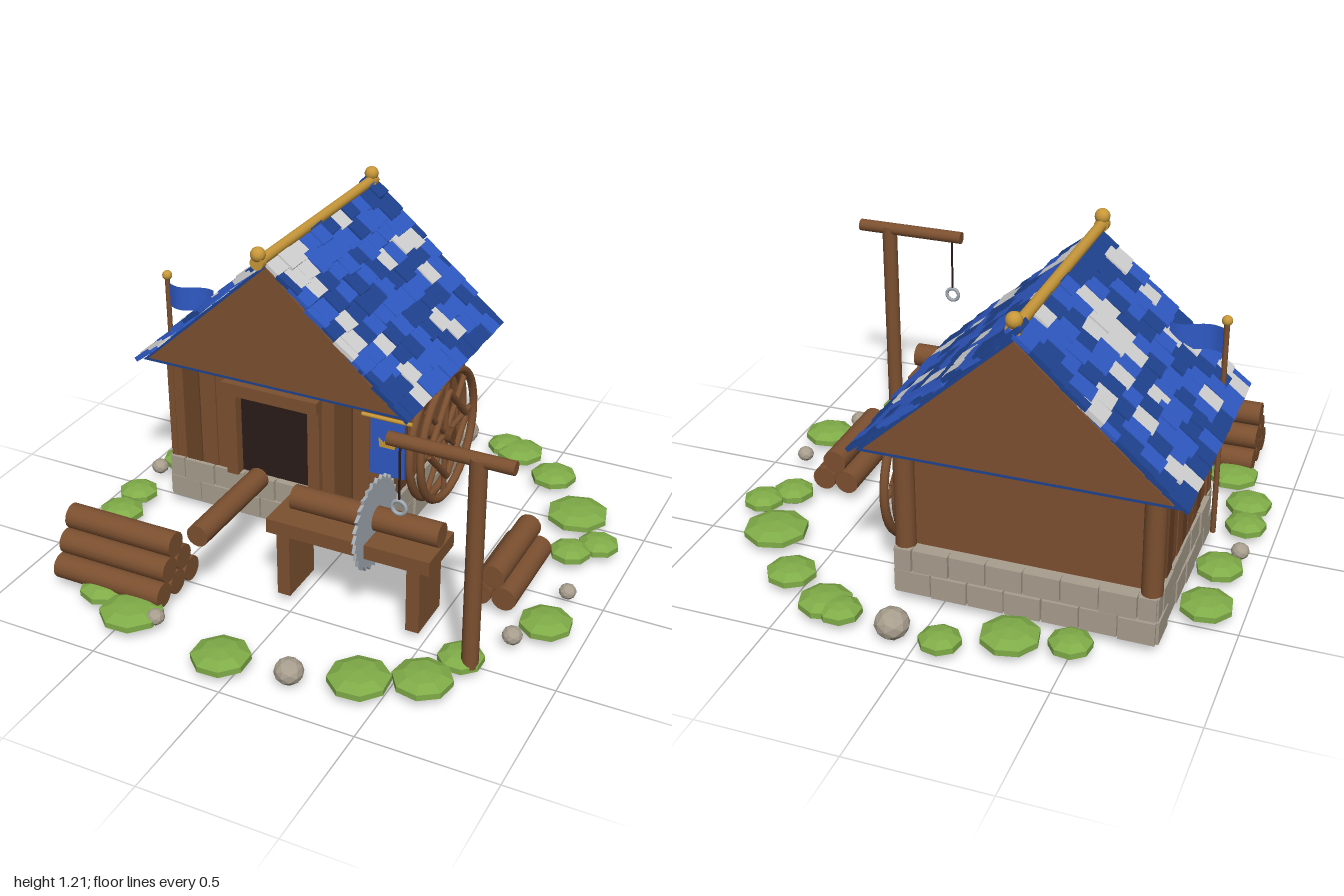
import * as THREE from 'three';
import { mergeGeometries } from 'three/addons/utils/BufferGeometryUtils.js';

const mat = (name, color, extra = {}) => {
  const m = new THREE.MeshStandardMaterial({ color, ...extra });
  m.name = name;
  return m;
};

export function createModel() {
  const root = new THREE.Group();
  root.name = 'sawmill';
  const wood = mat('wood', 0x7c5030), darkWood = mat('dark wood', 0x694226);
  const blue = mat('blue', 0x2f59c4, { side: THREE.DoubleSide }), navy = mat('navy', 0x1f4390);
  const white = mat('off white', 0xd2d2d2), gold = mat('gold', 0xc8983a);
  const stone = mat('stone', 0xa89e8e, { flatShading: true });
  const green = mat('leaf green', 0x80ac48, { flatShading: true });
  const steel = mat('steel', 0xa3abb3), dark = mat('dark interior', 0x2a1c1a);

  let seed = 7;
  const rnd = (a = 0, b = 1) => {
    seed = (seed * 16807) % 2147483647;
    return a + (b - a) * seed / 2147483647;
  };
  const group = (name) => {
    const g = new THREE.Group();
    g.name = name;
    root.add(g);
    return g;
  };
  const add = (parent, name, geo, m, x = 0, y = 0, z = 0) => {
    const mesh = new THREE.Mesh(geo, m);
    mesh.name = name;
    mesh.position.set(x, y, z);
    parent.add(mesh);
    return mesh;
  };
  // box given by its min and max on each axis
  const box = (parent, name, m, x0, x1, y0, y1, z0, z1) =>
    add(parent, name, new THREE.BoxGeometry(x1 - x0, y1 - y0, z1 - z0), m, (x0 + x1) / 2, (y0 + y1) / 2, (z0 + z1) / 2);
  // round bar between two points
  const bar = (parent, name, m, r, a, b, sides = 14) => {
    const p = new THREE.Vector3(...a), q = new THREE.Vector3(...b);
    const mesh = add(parent, name, new THREE.CylinderGeometry(r, r, p.distanceTo(q), sides), m);
    mesh.position.copy(p).add(q).multiplyScalar(0.5);
    mesh.quaternion.setFromUnitVectors(new THREE.Vector3(0, 1, 0), q.sub(p).normalize());
    return mesh;
  };
  const ball = (parent, name, m, r, x, y, z) => add(parent, name, new THREE.SphereGeometry(r, 14, 10), m, x, y, z);

  const CX = -0.3, X0 = -0.765, X1 = 0.165, Z0 = -0.7, Z1 = 0.05;

  // Foundation: core with two staggered courses of blocks
  const base = group('foundation');
  box(base, 'foundationCore', stone, X0 + 0.012, X1 - 0.012, 0.04, 0.22, Z0 + 0.012, Z1 - 0.012);
  const course = (from, to, row, put) => {
    const n = Math.round((to - from) / 0.125), w = (to - from) / n;
    for (let i = 0; i <= n; i++) {
      const a = Math.max(from, from + (i - row * 0.5) * w), b = Math.min(to, from + (i + 1 - row * 0.5) * w);
      if (b - a > 0.02) put(a + 0.003, b - 0.003);
    }
  };
  for (let row = 0; row < 2; row++) {
    const y0 = 0.045 + row * 0.092, y1 = y0 + 0.086;
    course(X0, X1, row, (a, b) => {
      box(base, 'frontBlock', stone, a, b, y0, y1, Z1 - 0.03, Z1 + rnd(0.004, 0.012));
      box(base, 'backBlock', stone, a, b, y0, y1, Z0 - rnd(0, 0.01), Z0 + 0.03);
    });
    course(Z0, Z1, row, (a, b) => {
      box(base, 'leftBlock', stone, X1 - 0.03, X1 + rnd(0, 0.01), y0, y1, a, b);
      box(base, 'rightBlock', stone, X0 - rnd(0, 0.01), X0 + 0.03, y0, y1, a, b);
    });
  }

  // Cabin walls: core, uneven planks and round corner posts
  const cabin = group('cabin');
  box(cabin, 'wallCore', wood, X0 + 0.02, X1 - 0.02, 0.22, 0.64, Z0 + 0.05, Z1 - 0.025);
  const planks = (from, to, put) => {
    const n = Math.round((to - from) / 0.066), w = (to - from) / n;
    for (let i = 0; i < n; i++) put(from + i * w + 0.002, from + (i + 1) * w - 0.002, rnd(0, 0.012), i % 3 === 1 ? darkWood : wood);
  };
  const frontPlank = (a, b, d, m) => box(cabin, 'frontPlank', m, a, b, 0.22, 0.635, Z1 - 0.03, Z1 - d);
  planks(X0, -0.48, frontPlank);
  planks(-0.12, X1, frontPlank);
  planks(Z0 + 0.06, Z1, (a, b, d, m) => {
    box(cabin, 'leftPlank', m, X1 - 0.03, X1 - d, 0.22, 0.635, a, b);
    box(cabin, 'rightPlank', m, X0 + d, X0 + 0.03, 0.22, 0.635, a, b);
  });
  for (const x of [X0 + 0.03, X1 - 0.03]) bar(cabin, 'backPost', wood, 0.037, [x, 0.22, Z0 + 0.037], [x, 0.64, Z0 + 0.037]);

  // Doorway
  box(cabin, 'doorOpening', dark, -0.47, -0.13, 0.225, 0.6, 0.02, 0.03);
  for (const x of [-0.475, -0.125]) box(cabin, 'doorPost', wood, x - 0.024, x + 0.024, 0.22, 0.58, 0.02, 0.07);
  box(cabin, 'doorLintel', wood, -0.5, -0.1, 0.572, 0.622, 0.02, 0.09);

  // Roof body and gables
  const roof = group('roof');
  const prism = (name, m, half, y0, y1, z0, z1) => {
    const s = new THREE.Shape([new THREE.Vector2(CX - half, y0), new THREE.Vector2(CX + half, y0), new THREE.Vector2(CX, y1)]);
    return add(roof, name, new THREE.ExtrudeGeometry(s, { depth: z1 - z0, bevelEnabled: false }), m, 0, 0, z0);
  };
  prism('roofBody', navy, 0.55, 0.63, 1.13, -0.785, 0.072);
  prism('frontGable', wood, 0.52, 0.645, 1.115, 0.07, 0.08);
  prism('backGable', wood, 0.52, 0.645, 1.115, -0.793, -0.783);

  // Shingles: overlapping rows down both slopes, collected by colour
  const shingles = new Map([[blue, []], [navy, []], [white, []]]);
  const slope = Math.atan2(0.51, 0.56), rows = 10, cols = 11, run = 0.755;
  for (const side of [-1, 1]) {
    for (let r = 0; r < rows; r++) {
      const shift = (r % 2) * 0.5;
      for (let c = 0; c < cols + (r % 2); c++) {
        const w = 0.913 / cols;
        const a = Math.max(-0.813, -0.813 + (c - shift) * w), b = Math.min(0.1, -0.813 + (c + 1 - shift) * w);
        const len = run / rows + rnd(0.01, 0.03), end = (r + 1) * run / rows + (r < rows - 1 ? rnd(-0.012, 0.012) : 0);
        const geo = new THREE.BoxGeometry(len, rnd(0.012, 0.02), b - a - 0.002);
        geo.rotateY(rnd(-0.06, 0.06));
        geo.rotateZ(-side * (slope - 0.08));
        const d = end - len / 2, lift = 0.008 + rnd(0, 0.006);
        geo.translate(
          CX + side * (d * Math.cos(slope) + lift * Math.sin(slope)),
          1.135 - d * Math.sin(slope) + lift * Math.cos(slope), (a + b) / 2);
        const k = rnd();
        shingles.get(k < 0.17 ? white : k < 0.62 ? blue : navy).push(geo);
      }
    }
  }
  for (const [m, list] of shingles) add(roof, m.name + ' shingles', mergeGeometries(list), m);

  // Gold ridge with finials
  bar(roof, 'ridgePole', gold, 0.02, [CX, 1.155, -0.79], [CX, 1.155, 0.12]);
  for (const z of [-0.785, 0.13]) {
    ball(roof, 'ridgeFinial', gold, 0.028, CX, 1.185, z);
    bar(roof, 'ridgeCollar', gold, 0.026, [CX, 1.155, z - 0.015], [CX, 1.155, z + 0.015]);
  }

  // Wheel on the side wall
  const wheel = group('wheel');
  const WY = 0.355, WZ = -0.355, at = (x, r, t) => [x, WY + r * Math.sin(t), WZ + r * Math.cos(t)];
  for (const x of [0.19, 0.235])
    add(wheel, 'wheelRim', new THREE.TorusGeometry(0.258, 0.017, 8, 36), wood, x, WY, WZ).rotation.y = Math.PI / 2;
  for (let i = 0; i < 4; i++) {
    const t = i * Math.PI / 4;
    bar(wheel, 'wheelSpoke', wood, 0.012, at(0.225, 0.255, t), at(0.225, 0.255, t + Math.PI), 8);
    bar(wheel, 'wheelBrace', wood, 0.014, at(0.235, 0.185, t * 2), at(0.235, 0.185, t * 2 + Math.PI / 2), 8);
  }
  bar(wheel, 'wheelAxle', darkWood, 0.032, [0.14, WY, WZ], [0.26, WY, WZ], 8);

  // Hanging banner with crown
  const banner = group('banner');
  box(banner, 'bannerCloth', blue, 0.11, 0.245, 0.385, 0.61, 0.066, 0.074);
  bar(banner, 'bannerRod', gold, 0.008, [0.075, 0.617, 0.07], [0.272, 0.617, 0.07], 8);
  const crown = new THREE.Shape([[-0.03, 0], [0.03, 0], [0.034, 0.035], [0.016, 0.018], [0, 0.042], [-0.016, 0.018], [-0.034, 0.035]]
    .map(([x, y]) => new THREE.Vector2(x, y)));
  add(banner, 'bannerCrown', new THREE.ExtrudeGeometry(crown, { depth: 0.004, bevelEnabled: false }), gold, 0.178, 0.503, 0.074);

  // Flag pole with waving flag
  const flag = group('flag');
  bar(flag, 'flagPole', wood, 0.01, [-0.8, 0.1, -0.05], [-0.8, 0.93, -0.05], 10);
  ball(flag, 'flagFinial', gold, 0.019, -0.8, 0.94, -0.05);
  const cloth = new THREE.PlaneGeometry(0.19, 0.095, 12, 1), cp = cloth.attributes.position;
  for (let i = 0; i < cp.count; i++) cp.setZ(i, 0.018 * Math.sin((cp.getX(i) + 0.095) * 30));
  cloth.computeVertexNormals();
  add(flag, 'flagCloth', cloth, blue, -0.7, 0.862, -0.05);

  // Saw table, log and toothed blade
  const saw = group('sawTable');
  box(saw, 'tableTop', wood, -0.105, 0.52, 0.295, 0.35, 0.257, 0.47);
  for (const x of [-0.045, 0.457]) box(saw, 'tableLeg', wood, x - 0.025, x + 0.025, 0.04, 0.295, 0.275, 0.46);
  bar(saw, 'tableLog', wood, 0.045, [-0.045, 0.4, 0.365], [0.52, 0.4, 0.365], 16);
  const teeth = 28, pts = [];
  for (let i = 0; i < teeth; i++) {
    const t = i / teeth * Math.PI * 2, u = t + Math.PI * 1.5 / teeth;
    pts.push(new THREE.Vector2(0.158 * Math.cos(t), 0.158 * Math.sin(t)), new THREE.Vector2(0.173 * Math.cos(u), 0.173 * Math.sin(u)));
  }
  const blade = new THREE.ExtrudeGeometry(new THREE.Shape(pts), { depth: 0.012, bevelEnabled: false });
  add(saw, 'sawBlade', blade, steel, 0.264, 0.385, 0.37).rotation.y = Math.PI / 2;

  // Loose logs and piles
  const logs = group('logs');
  bar(logs, 'doorLog', wood, 0.042, [CX, 0.305, 0.175], [CX, 0.305, 0.615], 16);
  for (let r = 0; r < 3; r++) for (let i = 0; i < 3 - r; i++) {
    const y = 0.087 + r * 0.079, z = 0.523 + (i + r / 2) * 0.094;
    bar(logs, 'bigPileLog', wood, 0.047, [-0.83, y, z], [-0.39, y, z], 16);
  }
  for (const [x, y] of [[0.601, 0.087], [0.694, 0.087], [0.648, 0.167]])
    bar(logs, 'smallPileLog', wood, 0.046, [x, y, -0.17], [x, y, 0.205], 16);

  // Crane with rope and ring
  const crane = group('crane');
  bar(crane, 'cranePost', wood, 0.03, [0.712, 0.05, 0.555], [0.712, 0.855, 0.555]);
  bar(crane, 'craneBeam', wood, 0.024, [0.4, 0.846, 0.552], [0.835, 0.846, 0.552]);
  bar(crane, 'craneRope', dark, 0.004, [0.442, 0.83, 0.552], [0.442, 0.622, 0.552], 6);
  add(crane, 'craneRing', new THREE.TorusGeometry(0.025, 0.007, 8, 18), steel, 0.442, 0.596, 0.552);

  // Ring of flat bushes and pebbles: x, z, radius
  const garden = group('garden');
  const bushes = [[-0.87, -0.43, 0.1], [-0.86, -0.19, 0.09], [-0.89, 0.11, 0.08], [-0.87, 0.26, 0.09], [-0.77, 0.45, 0.1],
    [-0.5, -0.79, 0.08], [-0.3, -0.82, 0.11], [-0.09, -0.92, 0.078], [0.29, -0.88, 0.08], [0.36, -0.85, 0.1], [0.55, -0.73, 0.095],
    [0.73, -0.5, 0.125], [0.87, -0.33, 0.08], [0.79, -0.24, 0.08], [0.86, 0.22, 0.1], [0.67, 0.53, 0.085], [0.6, 0.69, 0.11],
    [0.41, 0.78, 0.115], [-0.06, 0.88, 0.11], [-0.47, 0.8, 0.12], [-0.63, 0.72, 0.1]];
  for (const [x, z, r] of bushes) {
    const b = add(garden, 'bush', new THREE.SphereGeometry(r, 8, 5), green, x, 0.05, z);
    b.scale.y = 0.036 / r;
    b.rotation.y = rnd(0, 6);
  }
  const pebbles = [[0.09, -0.9, 0.062], [0.87, 0.02, 0.032], [0.785, 0.35, 0.037], [0.19, 0.86, 0.052],
    [-0.37, 0.8, 0.033], [-0.91, -0.08, 0.034]];
  for (const [x, z, r] of pebbles)
    add(garden, 'pebble', new THREE.IcosahedronGeometry(r, 1), stone, x, 0.06, z).scale.y = 0.9;

  return root;
}
